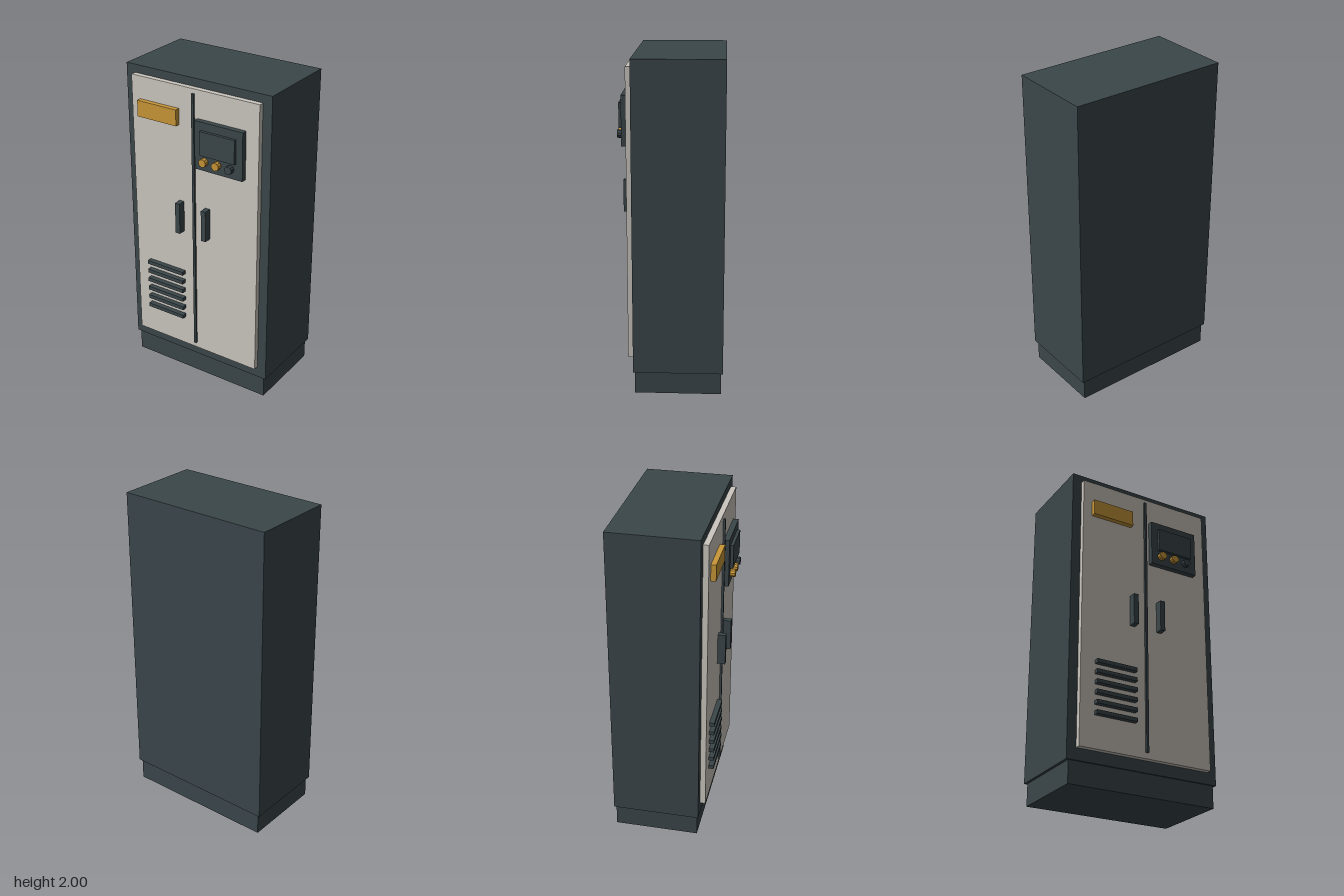
import * as THREE from 'three';

const mat = (name, color) => {
  const m = new THREE.MeshStandardMaterial({ color });
  m.name = name;
  return m;
};

export function createModel() {
  const slate = mat('slate', 0x3b464a);
  const cream = mat('cream', 0xccc7bf);
  const amber = mat('amber', 0xc99738);
  const model = new THREE.Group();
  model.name = 'controlCabinet';

  const add = (name, geometry, material, x, y, z) => {
    const mesh = new THREE.Mesh(geometry, material);
    mesh.name = name;
    mesh.position.set(x, y, z);
    model.add(mesh);
    return mesh;
  };
  // box given by its minimum and maximum on each axis
  const box = (name, material, [x0, x1], [y0, y1], [z0, z1]) =>
    add(name, new THREE.BoxGeometry(x1 - x0, y1 - y0, z1 - z0), material,
      (x0 + x1) / 2, (y0 + y1) / 2, (z0 + z1) / 2);

  // cabinet shell and recessed plinth
  box('plinth', slate, [-0.48, 0.48], [0, 0.137], [-0.308, 0.207]);
  box('body', slate, [-0.497, 0.497], [0.137, 2], [-0.318, 0.217]);

  // door face and the seam between the two leaves
  const face = 0.25;
  box('doors', cream, [-0.438, 0.438], [0.21, 1.95], [0.217, face]);
  box('doorSeam', slate, [-0.008, 0.008], [0.247, 1.922], [face, 0.263]);

  // name plate
  box('plate', amber, [-0.379, -0.103], [1.71, 1.81], [face, 0.281]);

  // control panel with screen and knobs
  box('controlPanel', slate, [0.029, 0.353], [1.481, 1.778], [face, 0.284]);
  box('screen', slate, [0.074, 0.31], [1.58, 1.728], [0.284, 0.302]);
  [amber, amber, slate].forEach((material, i) => {
    const geometry = new THREE.CylinderGeometry(0.0245, 0.0245, 0.03, 10).toNonIndexed();
    geometry.computeVertexNormals();
    geometry.rotateX(Math.PI / 2);
    add('knob', geometry, material, 0.098 + i * 0.088, 1.54, 0.299);
  });

  // door handles
  for (const s of [-1, 1])
    add('handle', new THREE.BoxGeometry(0.032, 0.198, 0.048), slate, s * 0.093, 1.125, 0.274);

  // ventilation slats
  for (let i = 0; i < 6; i++)
    add('ventSlat', new THREE.BoxGeometry(0.266, 0.024, 0.031), slate, -0.21, 0.422 + i * 0.0628, 0.2655);

  return model;
}
